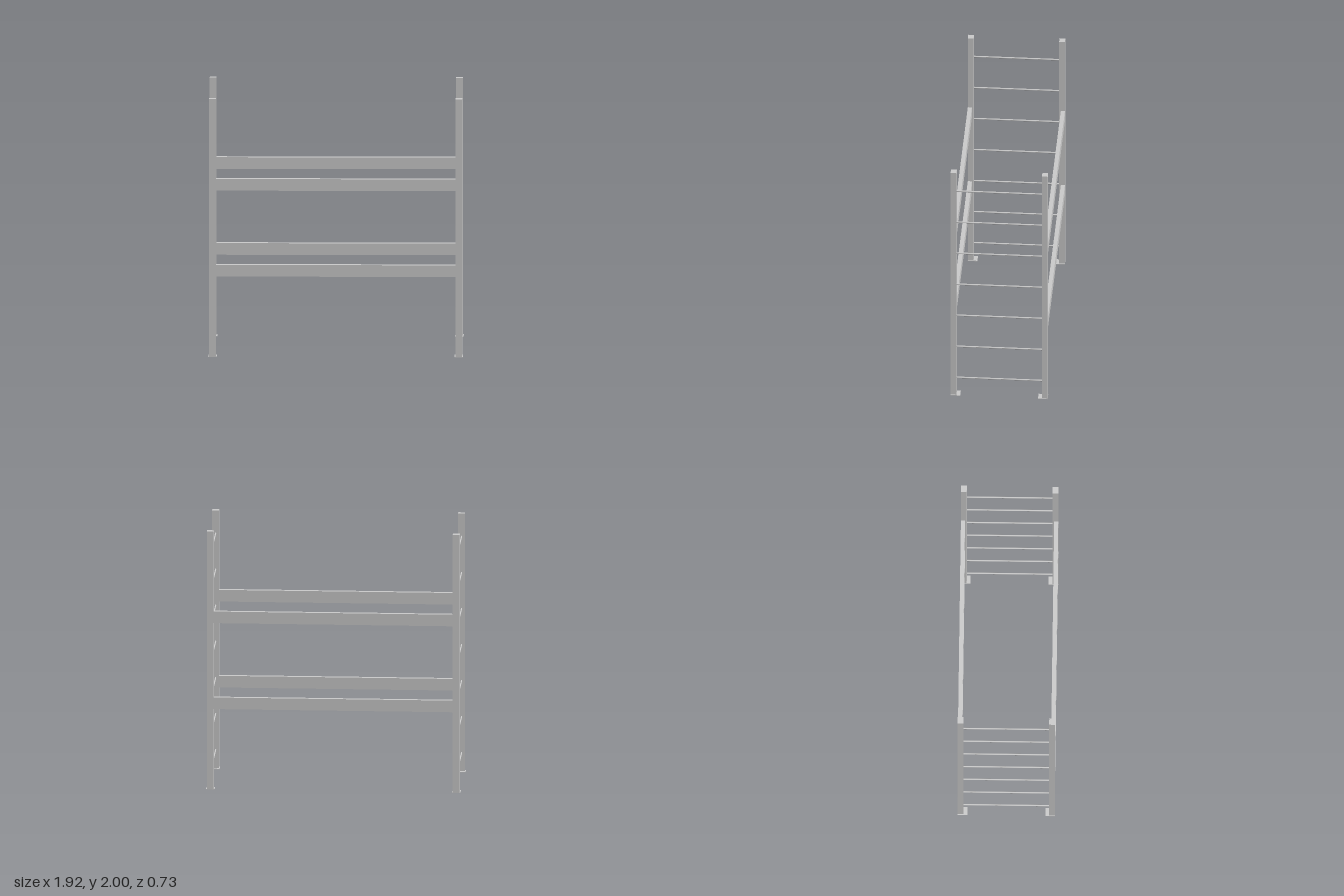
import * as THREE from 'three';

const material = new THREE.MeshStandardMaterial({ color: 0xcccccc });

// Box given by its lower and upper corner on each axis
function box(name, [x0, x1], [y0, y1], [z0, z1]) {
  const mesh = new THREE.Mesh(new THREE.BoxGeometry(x1 - x0, y1 - y0, z1 - z0), material);
  mesh.position.set((x0 + x1) / 2, (y0 + y1) / 2, (z0 + z1) / 2);
  mesh.name = name;
  return mesh;
}

// Mirror a range to the negative side when the sign is -1
const flip = (s, a, b) => (s > 0 ? [a, b] : [-b, -a]);

export function createModel() {
  const rack = new THREE.Group();
  rack.name = 'storageRack';
  const plate = 0.005;
  const rungGeometry = new THREE.CylinderGeometry(0.006, 0.006, 0.646, 12).rotateX(Math.PI / 2);

  for (const sx of [1, -1]) {
    const frame = new THREE.Group();
    frame.name = sx > 0 ? 'leftFrame' : 'rightFrame';

    // Uprights on foot plates that reach inwards
    for (const sz of [1, -1]) {
      const end = sz > 0 ? 'front' : 'back';
      frame.add(
        box(end + 'Post', flip(sx, 0.902, 0.954), [plate, 2], flip(sz, 0.323, 0.367)),
        box(end + 'FootPlate', flip(sx, 0.896, 0.96), [0, plate], flip(sz, 0.294, 0.367))
      );
    }

    // Evenly spaced thin rungs
    for (let i = 0; i < 7; i++) {
      const rung = new THREE.Mesh(rungGeometry, material);
      rung.name = 'rung' + (i + 1);
      rung.position.set(sx * 0.928, 0.146 + i * 0.2795, 0);
      frame.add(rung);
    }
    rack.add(frame);
  }

  // Shelf beams between the uprights, flush with their outer faces
  for (const [level, y] of [['lower', 0.625], ['upper', 1.291]]) {
    for (const sz of [1, -1]) {
      const name = level + (sz > 0 ? 'Front' : 'Back') + 'Beam';
      rack.add(box(name, [-0.902, 0.902], [y, y + 0.09], flip(sz, 0.336, 0.367)));
    }
  }
  return rack;
}
